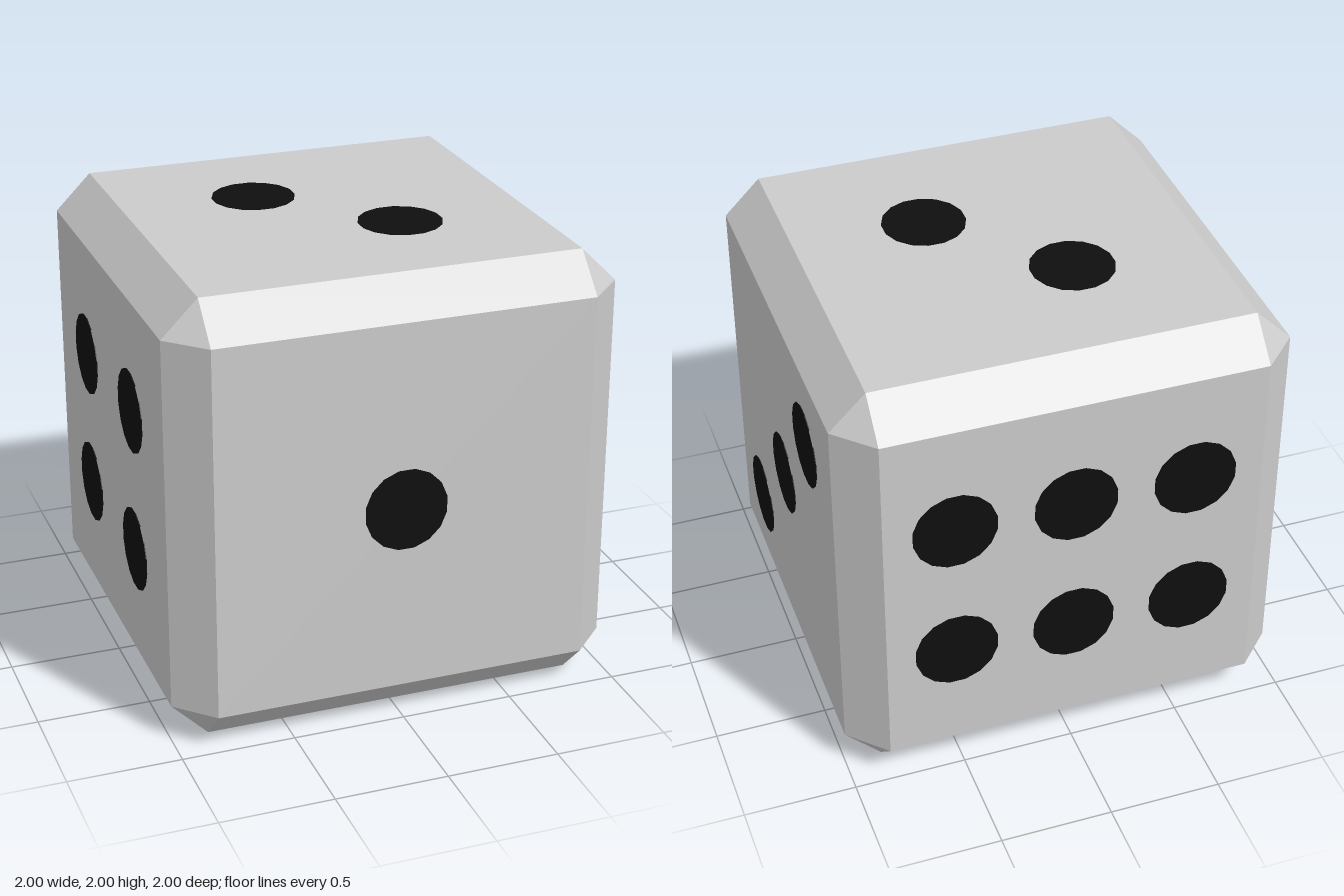
import * as THREE from 'three';
import { ConvexGeometry } from 'three/addons/geometries/ConvexGeometry.js';

const HALF = 0.996;   // centre to flat face
const INNER = 0.836;  // half width of a flat face
const PIP_RADIUS = 0.185;
const PIP_DEPTH = 0.01;

// Cube with bevelled edges and triangular corners
function createBody(material) {
  const points = [];
  for (const x of [-1, 1]) for (const y of [-1, 1]) for (const z of [-1, 1]) {
    points.push(
      new THREE.Vector3(x * HALF, y * INNER, z * INNER),
      new THREE.Vector3(x * INNER, y * HALF, z * INNER),
      new THREE.Vector3(x * INNER, y * INNER, z * HALF)
    );
  }
  const body = new THREE.Mesh(new ConvexGeometry(points), material);
  body.name = 'body';
  return body;
}

// Pip centres per face; each place() puts a pair on its face plane
const d = 1 - PIP_DEPTH / 2;
const faces = [
  { name: 'frontPip', normal: [0, 0, 1], place: (x, y) => [x, y, d], spots: [[0, 0]] },
  { name: 'topPip', normal: [0, 1, 0], place: (x, z) => [x, d, z],
    spots: [[-0.24, -0.267], [0.25, 0.257]] },
  { name: 'leftPip', normal: [1, 0, 0], place: (z, y) => [d, y, z],
    spots: [[-0.427, 0.473], [0, 0], [0.485, -0.498]] },
  { name: 'rightPip', normal: [-1, 0, 0], place: (z, y) => [-d, y, z],
    spots: [[-0.38, 0.307], [0.34, 0.327], [-0.38, -0.325], [0.34, -0.325]] },
  { name: 'bottomPip', normal: [0, -1, 0], place: (x, z) => [x, -d, z],
    spots: [[0, 0], [-0.508, -0.51], [0.51, -0.51], [-0.508, 0.52], [0.51, 0.52]] },
  { name: 'backPip', normal: [0, 0, -1], place: (x, y) => [x, y, -d],
    spots: [-0.53, 0, 0.527].flatMap(x => [[x, 0.33], [x, -0.325]]) },
];

export function createModel() {
  const model = new THREE.Group();
  model.name = 'die';
  const grey = new THREE.MeshStandardMaterial({ color: 0xcccccc, flatShading: true });
  const black = new THREE.MeshStandardMaterial({ color: 0x0f0f0f, flatShading: true });

  const cube = new THREE.Group();
  cube.name = 'cube';
  cube.position.y = 1;
  cube.add(createBody(grey));

  // Thin sixteen-sided discs standing just proud of each face
  const pipGeometry = new THREE.CylinderGeometry(PIP_RADIUS, PIP_RADIUS, PIP_DEPTH, 16);
  pipGeometry.rotateY(Math.PI / 16);
  const up = new THREE.Vector3(0, 1, 0);
  for (const { name, normal, place, spots } of faces) {
    for (const [a, b] of spots) {
      const pip = new THREE.Mesh(pipGeometry, black);
      pip.name = name;
      pip.position.set(...place(a, b));
      pip.quaternion.setFromUnitVectors(up, new THREE.Vector3(...normal));
      cube.add(pip);
    }
  }
  model.add(cube);
  return model;
}
